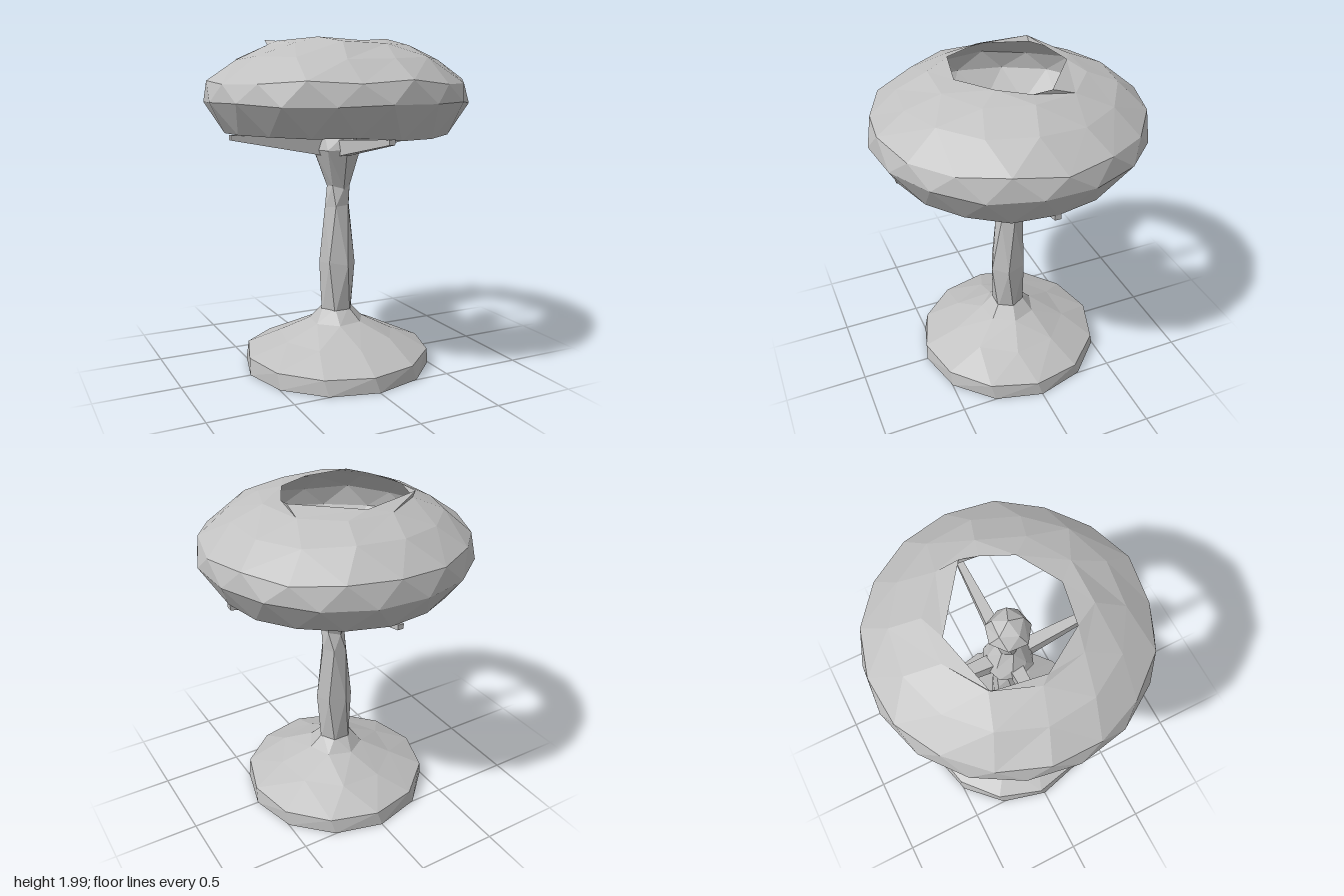
import * as THREE from 'three';

const TAU = Math.PI * 2;

// Small seeded generator for the hand-cut irregularity
let seed = 7;
const rand = () => {
  seed = (seed * 16807) % 2147483647;
  return seed / 2147483647 - 0.5;
};

// Ring of n points; t is its position around the turn
function ring(n, r, y, phase = 0, wobble = 0, cx = 0, cz = 0) {
  return Array.from({ length: n }, (_, i) => {
    const t = (i + phase) / n;
    const rr = r + rand() * wobble * 0.5;
    return { t, p: [cx + rr * Math.cos(t * TAU), y + rand() * wobble, cz + rr * Math.sin(t * TAU)] };
  });
}

// Triangulates between successive rings, which may differ in point count
function loft(rings) {
  const out = [];
  for (let k = 0; k + 1 < rings.length; k++) {
    const A = rings[k], B = rings[k + 1];
    const at = (R, i) => R[i % R.length].p;
    const next = (R, i) => (R.length === 1 || i >= R.length ? Infinity
      : i + 1 === R.length ? R[0].t + 1 : R[i + 1].t);
    let i = 0, j = 0;
    while (next(A, i) < Infinity || next(B, j) < Infinity) {
      if (next(A, i) <= next(B, j)) {
        out.push(...at(A, i), ...at(B, j), ...at(A, i + 1));
        i++;
      } else {
        out.push(...at(A, i), ...at(B, j), ...at(B, j + 1));
        j++;
      }
    }
  }
  const g = new THREE.BufferGeometry();
  g.setAttribute('position', new THREE.Float32BufferAttribute(out, 3));
  g.computeVertexNormals();
  return g;
}

// Tapered support arm running along +x from the hub to the shade rim
function armGeometry() {
  const g = new THREE.BoxGeometry(1, 1, 1);
  const p = g.attributes.position;
  for (let i = 0; i < p.count; i++) {
    const outer = p.getX(i) > 0, up = p.getY(i) > 0, side = Math.sign(p.getZ(i));
    p.setXYZ(i,
      outer ? 0.67 : 0.08,
      outer ? (up ? 1.455 : 1.425) : (up ? 1.41 : 1.31),
      side * (outer ? 0.018 : 0.04));
  }
  g.computeVertexNormals();
  return g;
}

export function createModel() {
  seed = 7;
  const grey = new THREE.MeshStandardMaterial({ color: 0xc0c0c0 });
  grey.name = 'plain grey';
  grey.flatShading = true;
  grey.side = THREE.DoubleSide;

  const lamp = new THREE.Group();
  lamp.name = 'tableLamp';
  const add = (name, geometry) => {
    const mesh = new THREE.Mesh(geometry, grey);
    mesh.name = name;
    lamp.add(mesh);
    return mesh;
  };

  // Wide foot with a short rim, sloping up to the stem
  add('base', loft([
    ring(1, 0, 0.05),
    ring(12, 0.575, 0.005, 0),
    ring(12, 0.565, 0.1, 0.1, 0.015),
    ring(9, 0.36, 0.195, 0.3, 0.02),
    ring(7, 0.17, 0.285, 0.1, 0.01),
    ring(6, 0.09, 0.37, 0),
    ring(1, 0, 0.38),
  ]));

  // Stem: slight swelling, slim waist, then flared hub
  add('stem', loft([
    ring(1, 0, 0.3),
    ring(6, 0.1, 0.33, 0),
    ring(6, 0.112, 0.65, 0.3, 0.03),
    ring(6, 0.085, 1.0, 0, 0.02, 0.01, -0.01),
    ring(6, 0.07, 1.12, 0.4, 0.02, 0.01),
    ring(8, 0.15, 1.35, 0, 0.01),
    ring(8, 0.12, 1.42, 0.3),
    ring(6, 0.065, 1.52, 0),
    ring(1, 0, 1.53),
  ]));

  // Faceted knob above the hub
  add('finial', loft([
    ring(1, 0, 1.5),
    ring(6, 0.06, 1.5, 0),
    ring(6, 0.075, 1.6, 0.3),
    ring(7, 0.13, 1.73, 0, 0.02),
    ring(5, 0.09, 1.8, 0.3, 0.01),
    ring(1, 0, 1.84),
  ]));

  // Four arms carrying the shade
  for (let i = 0; i < 4; i++) {
    add('shadeArm', armGeometry()).rotation.y = (i * Math.PI) / 2;
  }

  // Open domed shade with an uneven opening at the top
  const opening = [
    [0.33, 0], [0.24, 0.17], [0.01, 0.31], [-0.24, 0.26],
    [-0.39, 0.02], [-0.35, -0.27], [0.01, -0.35], [0.35, -0.1],
  ].map(([x, z], i) => ({
    t: i === 0 ? 0 : (Math.atan2(z, x) / TAU + 1) % 1,
    p: [x, 1.985 + (i % 2 ? 0.012 : -0.005), z],
  }));
  add('shade', loft([
    ring(17, 0.67, 1.455, 0, 0.025),
    ring(17, 0.787, 1.635, 0.45, 0.02),
    ring(17, 0.765, 1.755, 0, 0.03),
    ring(14, 0.6, 1.885, 0.3, 0.03),
    ring(10, 0.43, 1.965, 0.1, 0.015),
    opening,
  ]));

  return lamp;
}
